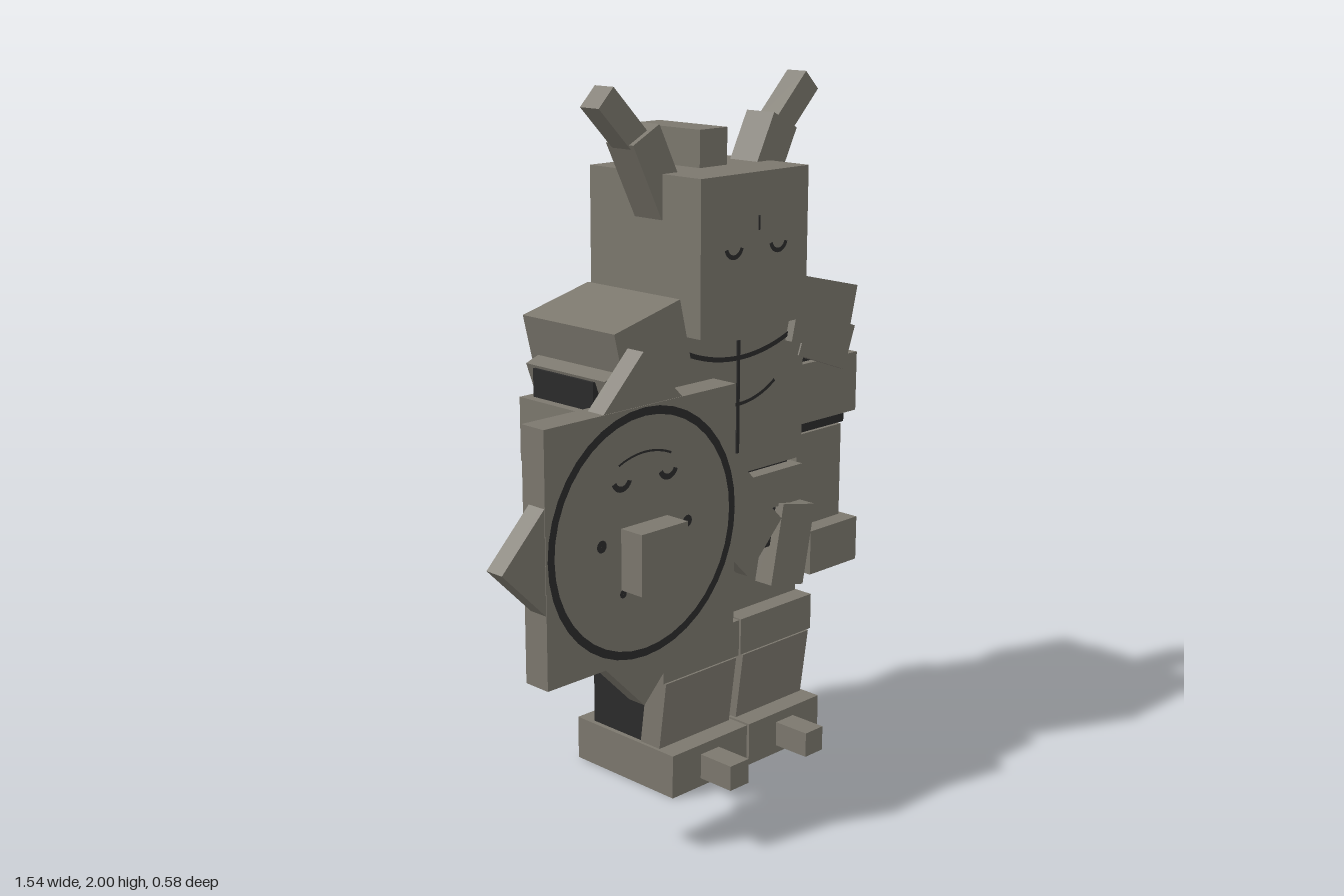
import * as THREE from 'three';

const AXIS = 0.22; // x of the body's plane of symmetry

export function createModel() {
  const model = new THREE.Group();
  model.name = 'shieldWarrior';
  const stone = new THREE.MeshStandardMaterial({ color: 0x7c786e });
  stone.name = 'stone';
  const dark = new THREE.MeshStandardMaterial({ color: 0x2b2b2b });
  dark.name = 'charcoal';

  // Box from its extents on each axis
  function box(parent, name, [x0, x1], [y0, y1], [z0, z1], mat = stone) {
    const m = new THREE.Mesh(new THREE.BoxGeometry(x1 - x0, y1 - y0, z1 - z0), mat);
    m.position.set((x0 + x1) / 2, (y0 + y1) / 2, (z0 + z1) / 2);
    m.name = name;
    parent.add(m);
    return m;
  }
  // Box of width w and height h about (x, y), turned in the front plane
  function tilted(parent, name, x, y, w, h, z, degrees, mat = stone) {
    const m = box(parent, name, [x - w / 2, x + w / 2], [y - h / 2, y + h / 2], z, mat);
    m.rotation.z = THREE.MathUtils.degToRad(degrees);
    return m;
  }
  // Flat painted arc facing the front
  function arc(parent, name, x, y, z, inner, outer, start = 0, length = Math.PI * 2) {
    const m = new THREE.Mesh(new THREE.RingGeometry(inner, outer, 40, 1, start, length), dark);
    m.position.set(x, y, z);
    m.name = name;
    parent.add(m);
  }
  // Painted arc sagging below its ends, lowest at (x, y)
  const sag = (parent, name, x, y, z, r, half, t) =>
    arc(parent, name, x, y + r, z, r - t / 2, r + t / 2, Math.PI * 1.5 - half, half * 2);

  // Head and crest
  box(model, 'head', [0.002, 0.435], [1.325, 1.76], [-0.29, 0.143]);
  box(model, 'crest', [0.165, 0.275], [1.74, 1.865], [-0.288, -0.02]);
  box(model, 'browLine', [0.229, 0.234], [1.6, 1.64], [0.142, 0.146], dark);

  // Torso
  box(model, 'collar', [-0.01, 0.447], [1.25, 1.39], [-0.2, 0.06]);
  box(model, 'chest', [-0.065, 0.505], [0.885, 1.325], [-0.275, 0.075]);
  box(model, 'midriff', [-0.02, 0.46], [0.86, 0.9], [-0.25, 0.06], dark);
  box(model, 'waist', [-0.037, 0.477], [0.765, 0.875], [-0.268, 0.105]);
  box(model, 'pelvis', [0.06, 0.38], [0.645, 0.77], [-0.245, 0.095], dark);
  tilted(model, 'beltDiamond', AXIS, 0.735, 0.203, 0.203, [0.08, 0.128], 45);
  sag(model, 'collarLine', 0.23, 1.23, 0.079, 0.55, 0.43, 0.014);
  sag(model, 'chestLine', 0.225, 1.095, 0.079, 0.27, 0.6, 0.01);
  box(model, 'breastLine', [0.22, 0.231], [0.95, 1.28], [0.074, 0.079], dark);

  // One side of the body, placed about the axis; s = 1 is the model's left
  for (const s of [1, -1]) {
    const side = new THREE.Group();
    side.name = s > 0 ? 'leftSide' : 'rightSide';
    side.position.x = AXIS;
    model.add(side);
    const span = (a, b) => (s > 0 ? [a - AXIS, b - AXIS] : [AXIS - b, AXIS - a]);
    const part = (name, x, y, z, mat) => box(side, name, span(...x), y, z, mat);
    const lean = (name, x, y, w, h, z, deg, mat) =>
      tilted(side, name, s * (x - AXIS), y, w, h, z, s * deg, mat);

    // Horn
    lean('hornBase', 0.445, 1.765, 0.11, 0.235, [-0.107, -0.002], -27);
    lean('hornTip', 0.562, 1.907, 0.076, 0.19, [-0.09, -0.018], -45);
    // Eye
    sag(side, 'eye', s * 0.09, 1.535, 0.146, 0.032, 1.3, 0.013);
    // Shoulder and arm
    lean('pauldron', 0.572, 1.312, 0.252, 0.193, [-0.265, 0.1], -13.8);
    lean('shoulderPlate', 0.608, 1.222, 0.22, 0.135, [-0.235, 0.08], -20);
    part('upperArm', [0.52, 0.74], [0.943, 1.24], [-0.2, 0.04], dark);
    part('elbowGuard', [0.505, 0.768], [0.978, 1.16], [-0.226, 0.063]);
    part('forearm', [0.535, 0.737], [0.63, 0.935], [-0.187, 0.033]);
    part('hand', [0.54, 0.755], [0.508, 0.645], [-0.2, 0.09]);
    // Leg
    part('thigh', [0.226, 0.53], [0.38, 0.77], [-0.225, 0.04]);
    lean('hipPlate', 0.422, 0.64, 0.143, 0.245, [0.06, 0.124], -11.5);
    part('kneeGuard', [0.224, 0.535], [0.34, 0.45], [-0.01, 0.1]);
    part('calf', [0.24, 0.52], [0.12, 0.385], [-0.205, 0.02], dark);
    part('shinGuard', [0.235, 0.525], [0.12, 0.342], [0.01, 0.086]).rotation.x = 0.13;
    part('foot', [0.225, 0.535], [0, 0.13], [-0.26, 0.137]);
    part('toeSpike', [0.345, 0.42], [0.025, 0.1], [0.13, 0.255]);
  }

  // Shield: a square and a diamond with a raised boss
  const shield = new THREE.Group();
  shield.name = 'shield';
  shield.position.set(-0.282, 0.858, 0);
  model.add(shield);
  box(shield, 'shieldSquare', [-0.348, 0.348], [-0.348, 0.348], [0.132, 0.216]);
  tilted(shield, 'shieldDiamond', 0, 0, 0.694, 0.694, [0.155, 0.214], 45);
  box(shield, 'shieldBoss', [-0.085, 0.085], [-0.138, 0.032], [0.21, 0.293]);
  box(shield, 'shieldGrip', [-0.05, 0.05], [-0.3, -0.2], [0.08, 0.14]);
  arc(shield, 'shieldRing', 0, 0, 0.22, 0.322, 0.345);
  arc(shield, 'shieldBrow', 0, -0.01, 0.22, 0.232, 0.238, 1.15, 0.84);
  for (const s of [-1, 1]) {
    sag(shield, 'shieldEye', s * 0.085, 0.14, 0.22, 0.03, 1.2, 0.016);
    arc(shield, 'shieldStud', s * 0.158, 0, 0.22, 0.001, 0.017);
    arc(shield, 'shieldFang', s * 0.082, -0.148, 0.22, 0.001, 0.012);
  }
  return model;
}
